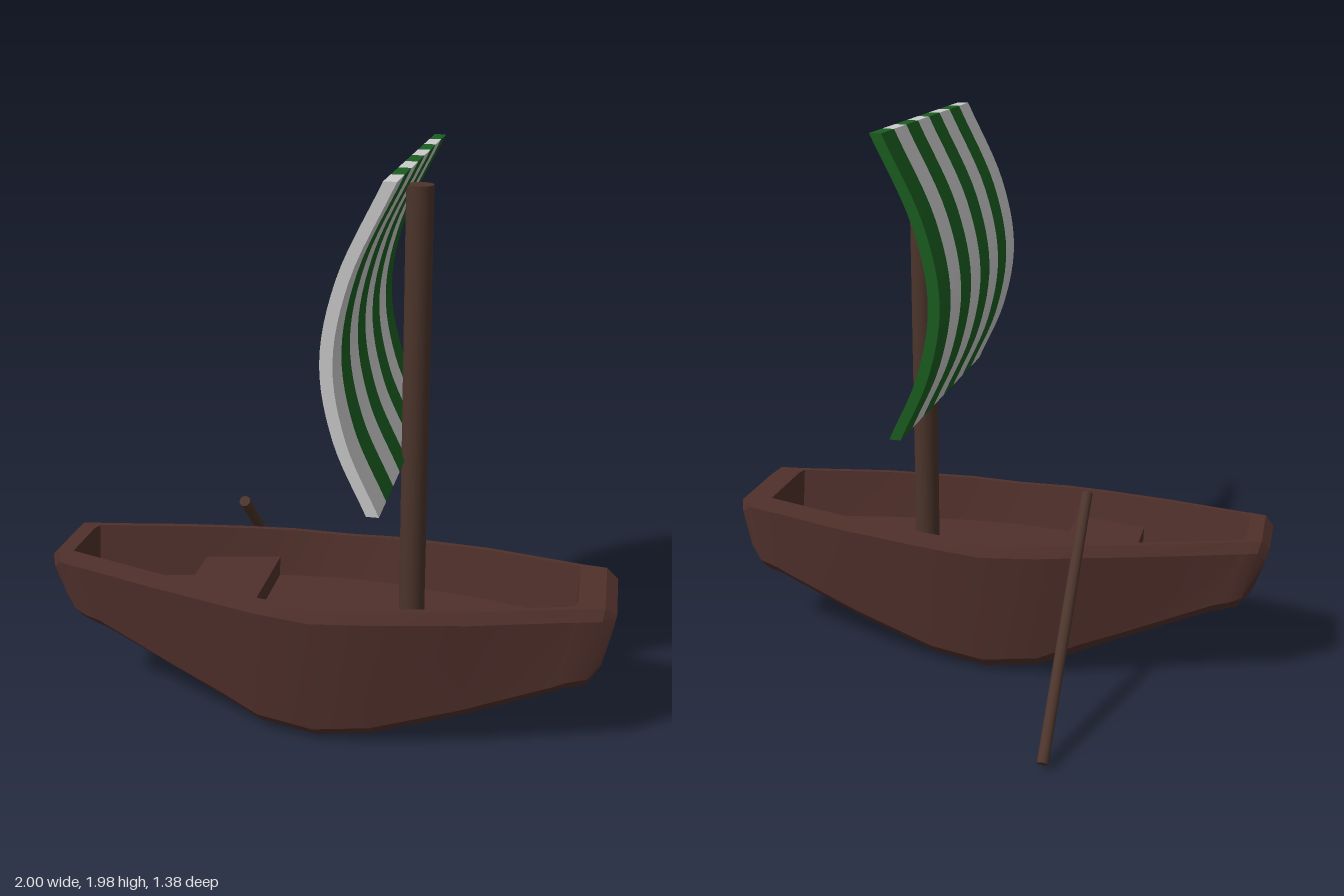
import * as THREE from 'three';
import { toCreasedNormals } from 'three/addons/utils/BufferGeometryUtils.js';

const wood = new THREE.MeshStandardMaterial({ color: 0x50302b });
const pole = new THREE.MeshStandardMaterial({ color: 0x4b342b });
const cloth = new THREE.MeshStandardMaterial({ color: 0xcccccc });
const green = new THREE.MeshStandardMaterial({ color: 0x1b5e20 });

const KEEL_Z = 0.18; // centre line of the boat
const FLOOR = 0.37;

function part(name, geometry, material) {
  const mesh = new THREE.Mesh(geometry, material);
  mesh.name = name;
  return mesh;
}

// Stations along the hull: x at rim, x at keel, rim y, keel y, rim half width, keel half width, inside y
const STATIONS = [
  [-1.0, -0.94, 0.54, 0.34, 0.12, 0.06, 0.54],
  [-0.97, -0.9, 0.57, 0.3, 0.14, 0.1, 0.57],
  [-0.915, -0.86, 0.568, 0.285, 0.155, 0.105, 0.568],
  [-0.905, -0.8, 0.567, 0.27, 0.157, 0.115, FLOOR],
  [-0.6, -0.5, 0.557, 0.155, 0.235, 0.17, FLOOR],
  [-0.35, -0.35, 0.548, 0.095, 0.288, 0.2, FLOOR],
  [-0.2, -0.2, 0.54, 0.035, 0.318, 0.23, FLOOR],
  [0, 0, 0.53, 0.01, 0.335, 0.245, FLOOR],
  [0.2, 0.2, 0.54, 0.035, 0.323, 0.235, FLOOR],
  [0.53, 0.5, 0.55, 0.12, 0.275, 0.195, FLOOR],
  [0.86, 0.8, 0.557, 0.22, 0.195, 0.145, FLOOR],
  [0.87, 0.84, 0.557, 0.235, 0.193, 0.14, 0.557],
  [0.96, 0.91, 0.56, 0.25, 0.175, 0.13, 0.56],
  [1.0, 0.95, 0.53, 0.3, 0.155, 0.11, 0.53],
];

// Closed cross-section: inside floor, rim, side, chine and keel, then mirrored
function section([xTop, xBot, yt, yb, wt, wb, yf]) {
  const half = [
    [wt - 0.075, yf],
    [wt - 0.04, yt],
    [wt - 0.02, yt],
    [wt, yt - 0.04],
    [Math.min(wb + 0.05, wt), yb + 0.05],
    [wb, yb],
  ];
  const ring = [...half, ...half.map(([z, y]) => [-z, y]).reverse()];
  return ring.map(([z, y], j) => {
    const inside = j === 0 || j === ring.length - 1;
    const t = inside ? 1 : (y - yb) / (yt - yb);
    return [xBot + (xTop - xBot) * t, y, z];
  });
}

function hullGeometry() {
  const rings = STATIONS.map(section);
  const n = rings[0].length;
  const positions = rings.flat(2);
  const index = [];
  for (let i = 0; i < rings.length - 1; i++) {
    for (let j = 0; j < n; j++) {
      const a = i * n + j, b = i * n + ((j + 1) % n);
      index.push(a, b, a + n, b, b + n, a + n);
    }
  }
  // Transoms closing both ends
  for (const end of [0, rings.length - 1]) {
    const centre = positions.length / 3;
    const [xTop, xBot, yt, yb] = STATIONS[end];
    positions.push((xTop + xBot) / 2, (yt + yb) / 2, 0);
    for (let j = 0; j < n; j++) {
      const a = end * n + j, b = end * n + ((j + 1) % n);
      index.push(centre, ...(end ? [a, b] : [b, a]));
    }
  }
  const g = new THREE.BufferGeometry();
  g.setAttribute('position', new THREE.Float32BufferAttribute(positions, 3));
  g.setIndex(index);
  return toCreasedNormals(g, 0.4);
}

// One sail stripe: the billowing profile extruded across the boat
function stripeGeometry(width) {
  const curve = new THREE.CatmullRomCurve3([
    [0.225, 0.975], [0.122, 1.21], [0.082, 1.45], [0.13, 1.7], [0.266, 1.99],
  ].map(([x, y]) => new THREE.Vector3(x, y, 0)));
  const edge = curve.getPoints(24).map((p) => new THREE.Vector2(p.x, p.y));
  const back = edge.map((p) => new THREE.Vector2(p.x + 0.04, p.y)).reverse();
  const g = new THREE.ExtrudeGeometry(new THREE.Shape([...edge, ...back]), {
    depth: width, bevelEnabled: false,
  });
  return toCreasedNormals(g, 0.5);
}

export function createModel() {
  const model = new THREE.Group();
  model.name = 'sailboat';

  const hull = part('hull', hullGeometry(), wood);
  hull.position.z = KEEL_Z;
  model.add(hull);

  // Bench tapering with the hull sides
  const benchShape = new THREE.Shape([
    new THREE.Vector2(-0.515, -0.21), new THREE.Vector2(-0.245, -0.28),
    new THREE.Vector2(-0.245, 0.28), new THREE.Vector2(-0.515, 0.21),
  ]);
  const bench = part('bench', new THREE.ExtrudeGeometry(benchShape, { depth: 0.08, bevelEnabled: false }), wood);
  bench.rotation.x = -Math.PI / 2;
  bench.position.set(0, 0.36, KEEL_Z);
  model.add(bench);

  // Mast stepped into the floor
  const mast = part('mast', new THREE.CylinderGeometry(0.045, 0.045, 1.54, 24), pole);
  mast.position.set(0.295, 1.13, KEEL_Z);
  model.add(mast);

  // Striped sail
  const sail = new THREE.Group();
  sail.name = 'sail';
  const width = 1.02 / 8;
  const stripe = stripeGeometry(width);
  for (let i = 0; i < 8; i++) {
    const s = part('sailStripe', stripe, i % 2 ? cloth : green);
    s.position.z = -0.33 + i * width;
    sail.add(s);
  }
  model.add(sail);

  // Oar leaning over the side
  const top = new THREE.Vector3(-0.35, 0.7, 0.03);
  const tip = new THREE.Vector3(-0.35, 0.032, -0.672);
  const dir = top.clone().sub(tip);
  const oar = part('oar', new THREE.CylinderGeometry(0.02, 0.02, dir.length(), 16), pole);
  oar.position.copy(top).add(tip).multiplyScalar(0.5);
  oar.quaternion.setFromUnitVectors(new THREE.Vector3(0, 1, 0), dir.normalize());
  model.add(oar);

  return model;
}
